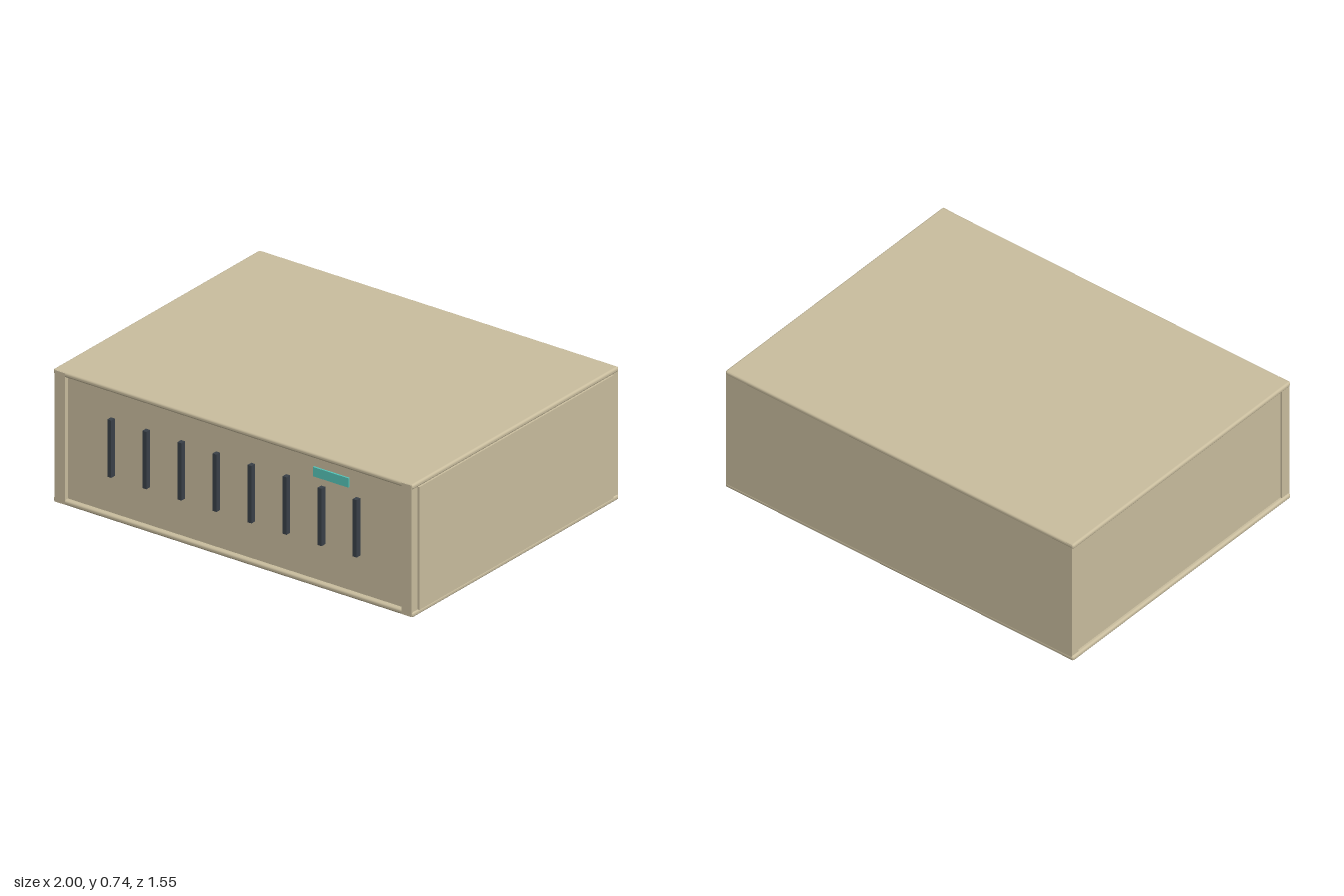
import * as THREE from 'three';
import { RoundedBoxGeometry } from 'three/addons/geometries/RoundedBoxGeometry.js';

const mat = (name, color) => {
  const m = new THREE.MeshStandardMaterial({ color });
  m.name = name;
  return m;
};

export function createModel() {
  const group = new THREE.Group();
  const shell = mat('beige shell', 0xc9bd9e);
  const dark = mat('dark rubber', 0x3a4048);
  const teal = mat('teal badge', 0x55c4b8);

  // Box given by its minimum and maximum corners, optionally rounded
  const box = (name, material, [x0, y0, z0], [x1, y1, z1], radius = 0) => {
    const size = [x1 - x0, y1 - y0, z1 - z0];
    const geo = radius
      ? new RoundedBoxGeometry(...size, 3, radius)
      : new THREE.BoxGeometry(...size);
    const mesh = new THREE.Mesh(geo, material);
    mesh.name = name;
    mesh.position.set((x0 + x1) / 2, (y0 + y1) / 2, (z0 + z1) / 2);
    group.add(mesh);
  };

  // Top and bottom plates with rounded rims
  box('bottomPlate', shell, [-1, 0.088, -0.773], [0.994, 0.114, 0.753], 0.011);
  box('topPlate', shell, [-1, 0.716, -0.773], [0.994, 0.742, 0.753], 0.011);

  // Wall panels
  box('frontPanel', shell, [-0.95, 0.1, 0.7], [0.95, 0.73, 0.73]);
  box('backPanel', shell, [-0.985, 0.1, -0.772], [0.985, 0.73, -0.74]);
  box('leftPanel', shell, [0.95, 0.113, -0.727], [0.998, 0.717, 0.708]);
  box('rightPanel', shell, [-0.982, 0.113, -0.727], [-0.95, 0.717, 0.708]);

  // Corner posts
  for (const s of [-1, 1]) {
    const [a, b] = s > 0 ? [0.933, 0.988] : [-0.99, -0.933];
    box('frontPost', shell, [a, 0.092, 0.7], [b, 0.738, 0.753]);
    box('backPost', shell, [a, 0.092, -0.771], [b, 0.738, -0.725]);
  }

  // Row of vertical vents
  for (let i = 0; i < 8; i++) {
    const x = -0.684 + i * 0.1943;
    box('vent', dark, [x - 0.011, 0.3, 0.725], [x + 0.011, 0.582, 0.757]);
  }

  // Badge plate
  box('badge', teal, [0.458, 0.641, 0.766], [0.654, 0.687, 0.775]);

  // Tapered feet
  const footGeo = new THREE.CylinderGeometry(0.068, 0.082, 0.095, 24);
  for (const x of [-0.739, 0.739]) {
    for (const z of [0.495, -0.515]) {
      const foot = new THREE.Mesh(footGeo, dark);
      foot.name = 'foot';
      foot.position.set(x, 0.0475, z);
      group.add(foot);
    }
  }
  return group;
}
